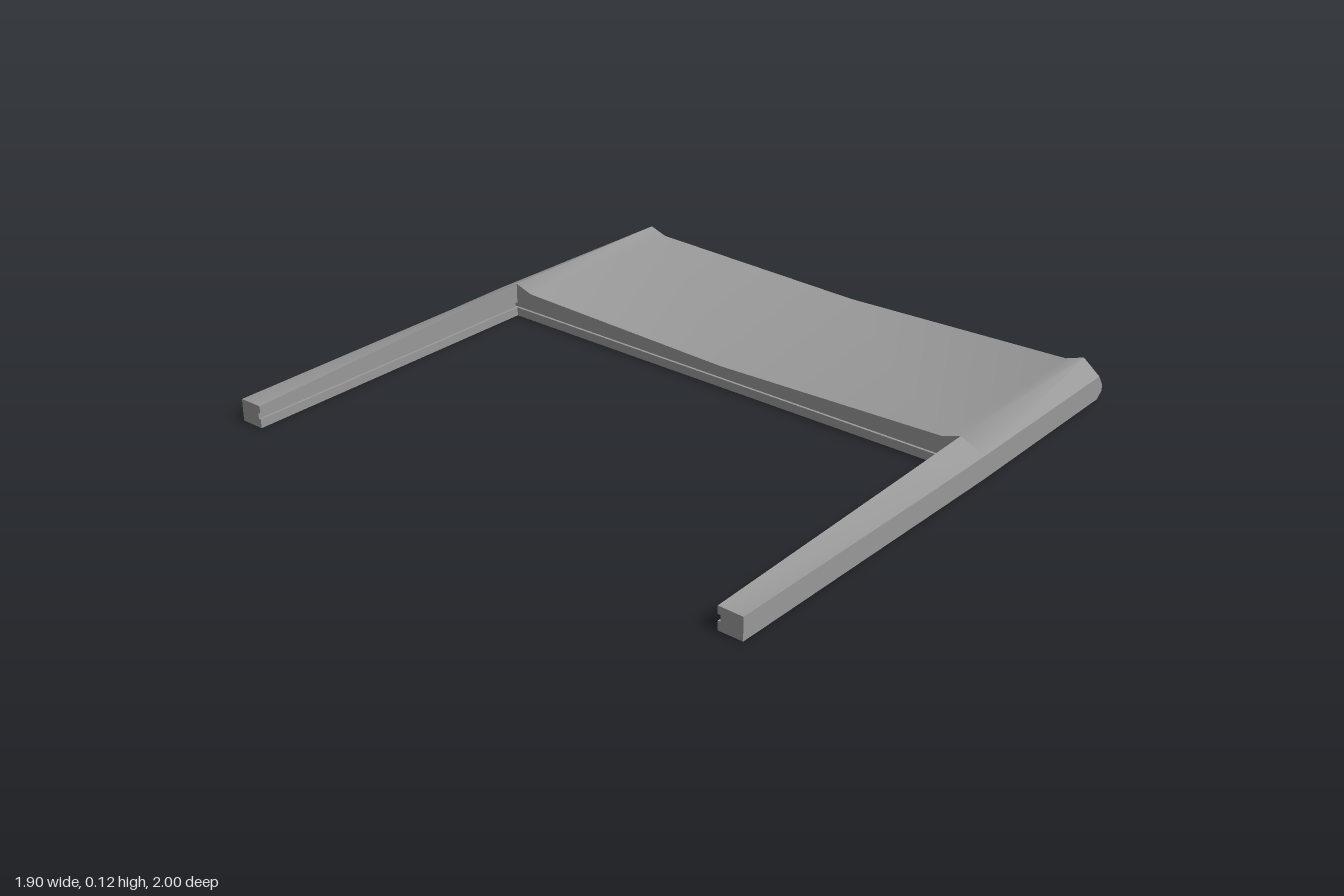
import * as THREE from 'three';
import { toCreasedNormals } from 'three/addons/utils/BufferGeometryUtils.js';

const GROOVE_LOW = 0.03, GROOVE_HIGH = 0.05, GROOVE_DEPTH = 0.009;
const INNER_X = 0.2;

// Joins matching closed sections; outlines run counter-clockwise seen from the last one.
// flat() turns a 3D point into the 2D plane used to triangulate the caps.
function loft(sections, flat) {
  const n = sections[0].length, index = [];
  const position = sections.flat(2);
  for (let s = 0; s < sections.length - 1; s++) {
    for (let i = 0; i < n; i++) {
      const j = (i + 1) % n, a = s * n, b = a + n;
      index.push(a + i, a + j, b + j, a + i, b + j, b + i);
    }
  }
  const last = (sections.length - 1) * n;
  const cap = (section) => THREE.ShapeUtils.triangulateShape(section.map(flat), []);
  cap(sections[0]).forEach(([a, b, c]) => index.push(a, c, b));
  cap(sections[sections.length - 1]).forEach((f) => index.push(...f.map((k) => k + last)));
  const geometry = new THREE.BufferGeometry();
  geometry.setAttribute('position', new THREE.Float32BufferAttribute(position, 3));
  geometry.setIndex(index);
  return toCreasedNormals(geometry, 0.82);
}

// Plate section: bevelled outer end, grooved inner edge.
function plateSection({ z, top, inset = 0, groove = GROOVE_DEPTH, taper = 0 }) {
  const end = 0.95 - inset;
  return [
    [INNER_X, 0], [end - 0.027, 0], [end, top * 0.27], [end, top * 0.52],
    [end - 0.025, top], [INNER_X, top],
    [INNER_X, GROOVE_HIGH], [INNER_X + groove, GROOVE_HIGH],
    [INNER_X + groove, GROOVE_LOW], [INNER_X, GROOVE_LOW],
  ].map(([x, y]) => [x, y, Math.sign(z) * (Math.abs(z) - taper * (x - INNER_X) / 0.72)]);
}

function plateGeometry() {
  const half = [
    { z: 0.85, top: 0.098 },
    { z: 0.915, top: 0.12 },
    { z: 1, top: 0.08, inset: 0.018, groove: 0, taper: 0.015 },
  ];
  const mirrored = half.map((s) => ({ ...s, z: -s.z })).reverse();
  const sections = [...mirrored, { z: 0, top: 0.075 }, ...half].map(plateSection);
  return loft(sections, ([x, y]) => new THREE.Vector2(x, y));
}

// Rail section: upright outer wall, sloping top, groove on the inner face.
function railSection(x, ridge, wall, side) {
  const inner = 0.915, deep = inner + GROOVE_DEPTH;
  const outline = [
    [1, 0], [inner, 0], [inner, GROOVE_LOW], [deep, GROOVE_LOW],
    [deep, GROOVE_HIGH], [inner, GROOVE_HIGH], [inner, ridge], [1, wall],
  ].map(([z, y]) => [x, y, z * side]);
  return side > 0 ? outline : outline.reverse();
}

function railGeometry(side) {
  const sections = [
    railSection(-0.95, 0.076, 0.075, side),
    railSection(-0.07, 0.109, 0.077, side),
    railSection(INNER_X, 0.12, 0.08, side),
  ];
  return loft(sections, ([, y, z]) => new THREE.Vector2(-z, y));
}

export function createModel() {
  const group = new THREE.Group();
  const material = new THREE.MeshStandardMaterial({ color: 0x999999 });
  const add = (name, geometry) => {
    const mesh = new THREE.Mesh(geometry, material);
    mesh.name = name;
    group.add(mesh);
  };
  add('endPlate', plateGeometry());
  add('frontRail', railGeometry(1));
  add('backRail', railGeometry(-1));
  return group;
}
